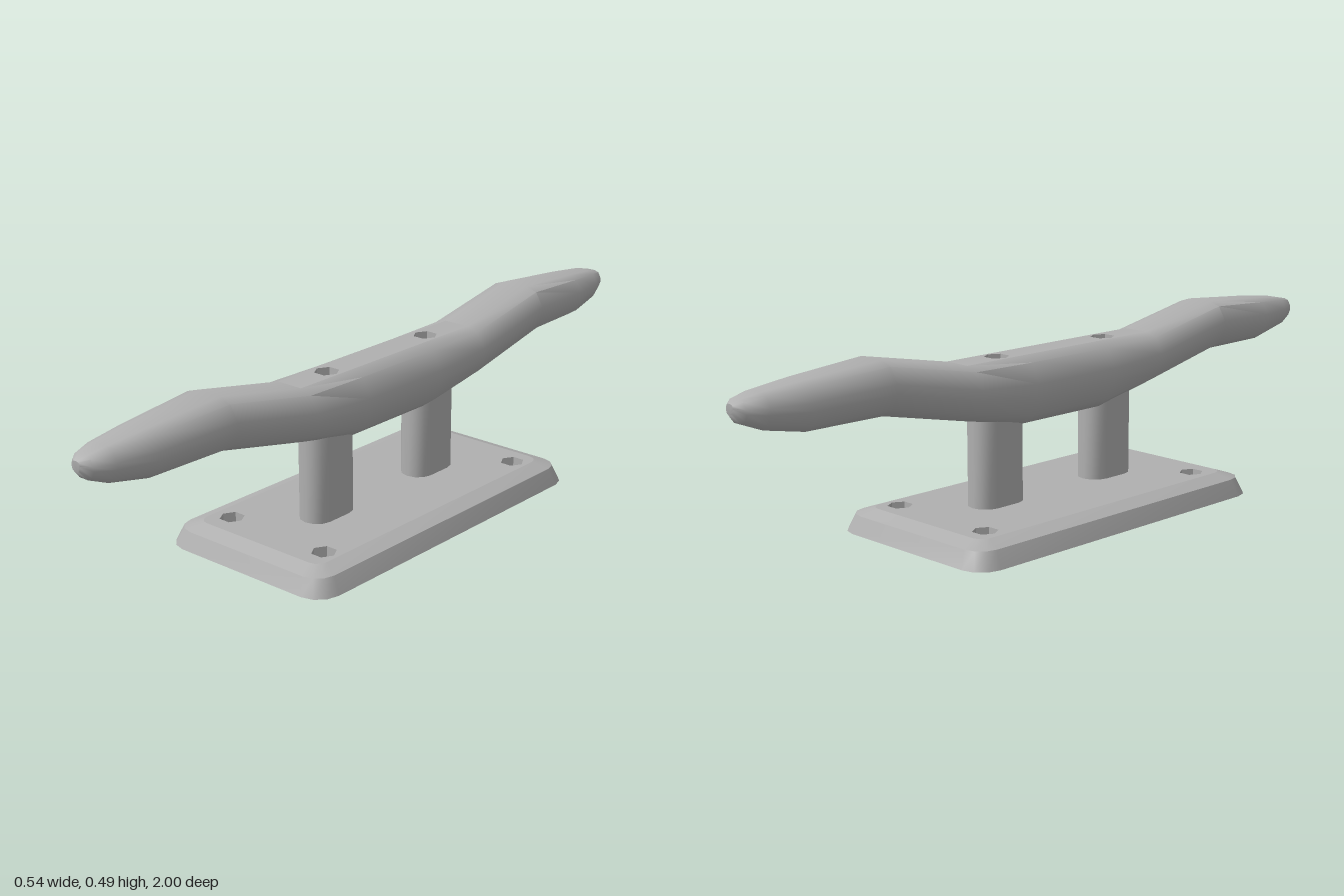
import * as THREE from 'three';
import { toCreasedNormals } from 'three/addons/utils/BufferGeometryUtils.js';

const metal = new THREE.MeshStandardMaterial({ color: 0xb0b0b0 });
metal.name = 'grey metal';

// Skin over equal-length rings of [x, y, z], counter-clockwise seen from +z
function loft(rings, { caps = false, skip = () => false } = {}) {
  const n = rings[0].length, pos = rings.flat(2), index = [];
  for (let i = 0; i < rings.length - 1; i++) {
    for (let j = 0; j < n; j++) {
      if (skip(i, j)) continue;
      const k = (j + 1) % n, a = i * n + j, b = i * n + k;
      index.push(a, b, b + n, a, b + n, a + n);
    }
  }
  if (caps) {
    const last = (rings.length - 1) * n;
    for (let j = 1; j < n - 1; j++) {
      index.push(0, j + 1, j, last, last + j, last + j + 1);
    }
  }
  const g = new THREE.BufferGeometry();
  g.setAttribute('position', new THREE.Float32BufferAttribute(pos, 3));
  g.setIndex(index);
  return toCreasedNormals(g, 0.75);
}

// Hexagon outline with points along x, clockwise
const hexagon = (cx, cy, r) => Array.from({ length: 6 }, (_, i) => [
  cx + r * Math.cos(-i * Math.PI / 3), cy + r * Math.sin(-i * Math.PI / 3)]);

// Rectangle outline with rounded corners, counter-clockwise
function roundedRect(hx, hy, r, steps = 3) {
  const pts = [];
  [[1, 1], [-1, 1], [-1, -1], [1, -1]].forEach(([sx, sy], q) => {
    for (let i = 0; i <= steps; i++) {
      const a = (q + i / steps) * Math.PI / 2;
      pts.push([sx * (hx - r) + r * Math.cos(a), sy * (hy - r) + r * Math.sin(a)]);
    }
  });
  return pts;
}

const at = (pts, z) => pts.map(([x, y]) => [x, y, z]);

function plate(outline, holes) {
  const v = pts => pts.map(([x, y]) => new THREE.Vector2(x, y));
  const s = new THREE.Shape(v(outline));
  holes.forEach(h => s.holes.push(new THREE.Path(v(h))));
  return new THREE.ShapeGeometry(s);
}

function addMesh(parent, name, geometry) {
  const m = new THREE.Mesh(geometry, metal);
  m.name = name;
  parent.add(m);
  return m;
}

// Mounting plate, drawn flat and then laid down
function makeBase() {
  const base = new THREE.Group();
  base.name = 'basePlate';
  const top = 0.06;
  const foot = roundedRect(0.27, 0.513, 0.065);
  const shoulder = roundedRect(0.25, 0.495, 0.055);
  const rim = roundedRect(0.207, 0.452, 0.03);
  const holes = [];
  for (const x of [-0.155, 0.163]) for (const y of [-0.383, 0.39]) holes.push(hexagon(x, y, 0.033));
  addMesh(base, 'baseSides', loft([at(foot, 0), at(shoulder, 0.045), at(rim, top)]));
  addMesh(base, 'baseTop', plate(rim, holes)).position.z = top;
  const under = addMesh(base, 'baseUnderside', plate(
    foot.map(([x, y]) => [x, -y]), holes.map(h => h.map(([x, y]) => [x, -y]))));
  under.rotation.x = Math.PI;
  holes.forEach(h => addMesh(base, 'boltHole', loft([at(h, 0), at(h, top)])));
  base.rotation.x = -Math.PI / 2;
  return base;
}

// Horn bar, lofted along z from a twelve-sided section
function makeBar() {
  const bar = new THREE.Group();
  bar.name = 'hornBar';
  bar.position.x = 0.006;
  const side = [[0.4, -1], [0.82, -0.68], [1, -0.1], [1, 0.25], [0.75, 0.84], [0.4, 1]];
  const section = [...side, ...side.map(([u, v]) => [-u, v]).reverse()];
  const flatY = 0.442, flatZ = 0.33;
  // z, top, bottom, half width
  const half = [
    [0.14, flatY, 0.265, 0.096], [flatZ, flatY, 0.302, 0.096], [0.6, 0.494, 0.36, 0.094],
    [0.82, 0.478, 0.359, 0.073], [0.93, 0.467, 0.38, 0.055],
    [0.98, 0.457, 0.4, 0.036], [1, 0.448, 0.422, 0.014],
  ];
  const stations = [...half.map(([z, ...r]) => [-z, ...r]).reverse(), ...half];
  const rings = stations.map(([z, t, b, w]) =>
    section.map(([u, v]) => [u * w, (t + b) / 2 + v * (t - b) / 2, z]));
  // The flat on top is left open for the drilled strip
  const skip = (i, j) => j === 5 && Math.abs(stations[i][0] + stations[i + 1][0]) / 2 < flatZ;
  addMesh(bar, 'horns', loft(rings, { caps: true, skip }));

  // Drilled flat with two blind screw holes
  const strip = new THREE.Group();
  strip.name = 'drilledFlat';
  strip.rotation.x = -Math.PI / 2;
  strip.position.y = flatY;
  const w = 0.4 * 0.096;
  const holes = [-0.195, 0.195].map(y => hexagon(0, y, 0.033));
  addMesh(strip, 'flatTop', plate([[-w, -flatZ], [w, -flatZ], [w, flatZ], [-w, flatZ]], holes));
  holes.forEach(h => {
    addMesh(strip, 'screwHole', loft([at(h, -0.06), at(h, 0)]));
    addMesh(strip, 'screwHoleFloor', plate([...h].reverse(), [])).position.z = -0.06;
  });
  bar.add(strip);
  return bar;
}

export function createModel() {
  const cleat = new THREE.Group();
  cleat.name = 'mooringCleat';
  cleat.add(makeBase(), makeBar());
  // Two oval posts
  const outline = roundedRect(0.046, 0.08, 0.044, 3);
  for (const z of [-0.2, 0.205]) {
    const post = addMesh(cleat, 'post', loft([at(outline, 0.055), at(outline, 0.325)]));
    post.rotation.x = -Math.PI / 2;
    post.position.set(0.009, 0, z);
  }
  return cleat;
}
